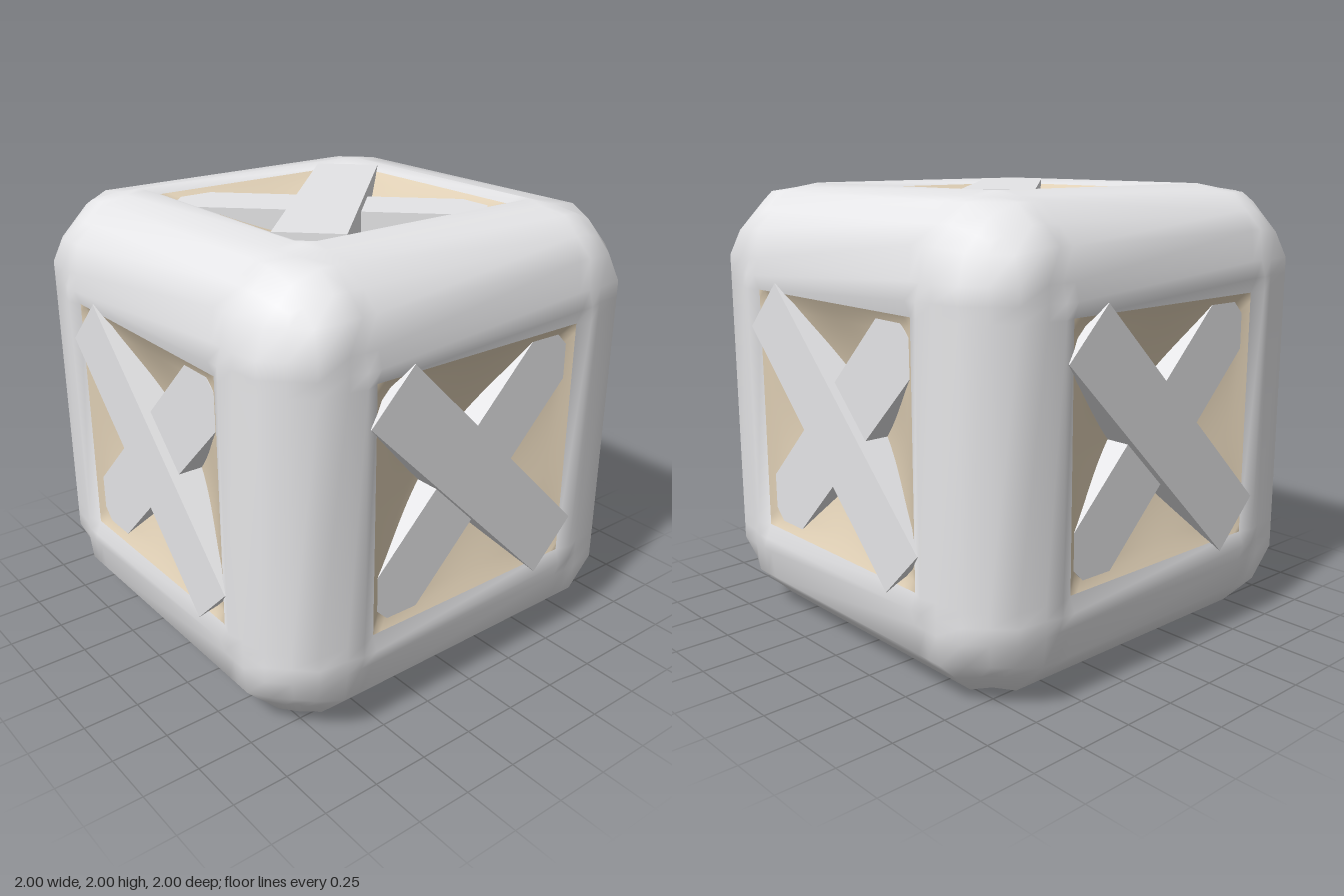
import * as THREE from 'three';
import { mergeGeometries, mergeVertices } from 'three/addons/utils/BufferGeometryUtils.js';

const H = Math.PI / 2;
const material = (name, color) => {
  const m = new THREE.MeshStandardMaterial({ color });
  m.name = name;
  return m;
};
const gray = material('light gray', 0xe5e5e7);
const tan = material('tan', 0xdfcfb5);

// Rotations carrying the +z side to each side of the cube
const sides = [
  ['front', 0, 0], ['left', 0, H], ['back', 0, Math.PI], ['right', 0, -H],
  ['top', -H, 0], ['bottom', H, 0],
];

// Point of one framed side: grid lines 1 = opening, 2 = rim, 3 to 5 = rounded border
function framePoint(i, j) {
  const a = Math.abs(i), b = Math.abs(j);
  const m = Math.max(a, b), n = Math.min(a, b);
  const flat = [0, 0.545, 0.61, 0.68, 0.81, 0.8875];
  const z = [0, 0.975, 1, 0.98, 0.965, 0.8875];
  let x = flat[a], y = flat[b], d = z[m];
  if (n >= 4) {
    if (m === 4) { x = y = 0.79; d = 0.92; }
    else if (n === 5) { x = y = d = 0.833; }
    else { x = a === 5 ? 0.855 : 0.79; y = b === 5 ? 0.855 : 0.79; d = 0.855; }
  }
  return [Math.sign(i) * x, Math.sign(j) * y, d];
}

function frameSide() {
  const lines = [-5, -4, -3, -2, -1, 1, 2, 3, 4, 5];
  const pos = [], idx = [];
  for (const j of lines) for (const i of lines) pos.push(...framePoint(i, j));
  for (let r = 0; r < 9; r++) for (let c = 0; c < 9; c++) {
    if (r === 4 && c === 4) continue; // panel opening
    const p = r * 10 + c;
    idx.push(p, p + 1, p + 11, p, p + 11, p + 10);
  }
  const g = new THREE.BufferGeometry();
  g.setAttribute('position', new THREE.Float32BufferAttribute(pos, 3));
  g.setIndex(idx);
  return g;
}

// Recessed panel: narrow lip, then a shallow smooth dish
function dishPanel() {
  const g = new THREE.PlaneGeometry(1.09, 1.09, 28, 28);
  const p = g.attributes.position;
  const lip = 0.51;
  for (let k = 0; k < p.count; k++) {
    const x = p.getX(k), y = p.getY(k);
    const m = Math.max(Math.abs(x), Math.abs(y));
    let z = 0.975 - 0.02 * Math.min(1, (0.545 - m) / (0.545 - lip));
    if (m < lip) z -= 0.13 * (1 - (x / lip) ** 2) * (1 - (y / lip) ** 2);
    p.setZ(k, z);
  }
  g.computeVertexNormals();
  return g;
}

// Diagonal bar with its outer face at the given height
function bar(name, top, angle) {
  const depth = top - 0.79;
  const mesh = new THREE.Mesh(new THREE.BoxGeometry(1.37, 0.297, depth), gray);
  mesh.name = name;
  mesh.position.z = top - depth / 2;
  mesh.rotation.z = angle;
  return mesh;
}

export function createModel() {
  const model = new THREE.Group();
  model.name = 'crate';
  const body = new THREE.Group();
  body.name = 'crateBody';
  body.position.y = 1;
  model.add(body);

  const frameParts = [];
  const panelGeometry = dishPanel();
  for (const [name, rx, ry] of sides) {
    const rotation = new THREE.Euler(rx, ry, 0);
    frameParts.push(frameSide().applyMatrix4(new THREE.Matrix4().makeRotationFromEuler(rotation)));

    const side = new THREE.Group();
    side.name = name + 'Side';
    side.rotation.copy(rotation);
    const panel = new THREE.Mesh(panelGeometry, tan);
    panel.name = name + 'Panel';
    side.add(panel);
    // Crossed bars on every side except the underside
    if (name !== 'bottom') {
      side.add(bar('upperBar', 0.996, -Math.PI / 4), bar('lowerBar', 0.957, Math.PI / 4));
    }
    body.add(side);
  }

  // One smooth rounded frame joined across all edges
  const frameGeometry = mergeVertices(mergeGeometries(frameParts), 1e-4);
  frameGeometry.computeVertexNormals();
  const frame = new THREE.Mesh(frameGeometry, gray);
  frame.name = 'frame';
  body.add(frame);
  return model;
}
